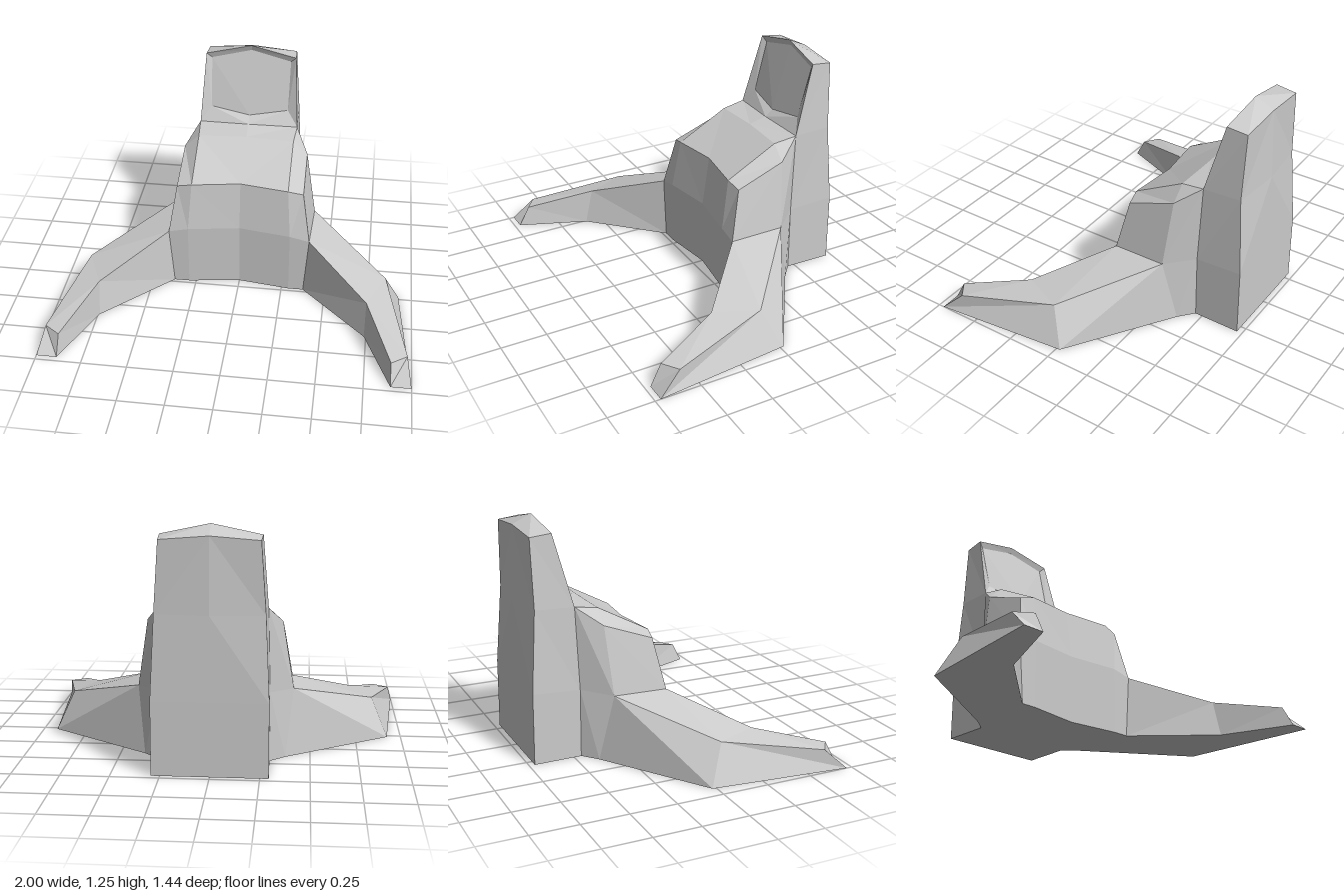
import * as THREE from 'three';

const material = new THREE.MeshStandardMaterial({ color: 0xcccccc, flatShading: true });

// Skins grids of points (rows bottom to top, columns left to right as seen
// from outside) on the +x half, and mirrors them onto the -x half.
function mirroredSkin(name, ...patches) {
  const positions = [];
  const triangle = (a, b, c) => {
    positions.push(...a, ...b, ...c);
    for (const [x, y, z] of [a, c, b]) positions.push(-x, y, z);
  };
  for (const rows of patches) {
    for (let i = 0; i < rows.length - 1; i++) {
      for (let j = 0; j < rows[i].length - 1; j++) {
        const a = rows[i][j], b = rows[i][j + 1];
        const c = rows[i + 1][j + 1], d = rows[i + 1][j];
        triangle(a, b, c);
        triangle(a, c, d);
      }
    }
  }
  const geometry = new THREE.BufferGeometry();
  geometry.setAttribute('position', new THREE.Float32BufferAttribute(positions, 3));
  geometry.computeVertexNormals();
  const mesh = new THREE.Mesh(geometry, material);
  mesh.name = name;
  return mesh;
}

export function createModel() {
  const group = new THREE.Group();
  group.name = 'archedSeat';

  // Body front: centre, inner and outer columns, from ground to seat rear
  const front = [
    [[0, 0, -0.06], [0.29, 0, -0.02], [0.375, 0, -0.02]],
    [[0, 0.375, -0.06], [0.29, 0.37, -0.02], [0.4, 0.345, -0.02]],
    [[0, 0.65, -0.1], [0.27, 0.643, -0.065], [0.355, 0.62, -0.08]],
    [[0, 0.8, -0.36], [0.27, 0.795, -0.35], [0.352, 0.72, -0.35]],
    [[0, 0.825, -0.46], [0.27, 0.815, -0.48], [0.28, 0.815, -0.48]],
  ];
  group.add(mirroredSkin('bodyFront', front));

  // Corner columns of the rear block
  const frontCorner = [[0.29, 0, -0.46], [0.29, 0.37, -0.46], [0.28, 0.815, -0.48], [0.255, 1.2, -0.585]];
  const backCorner = [[0.295, 0, -0.72], [0.295, 0.385, -0.72], [0.275, 0.82, -0.692], [0.25, 1.187, -0.7]];
  const backCentre = [[0, 0, -0.72], [0, 0.385, -0.72], [0, 0.82, -0.718], [0, 1.207, -0.705]];
  const topCentre = [0, 1.255, -0.6];

  // Arm sections from root to tip, running inner bottom, inner top, outer top, outer bottom
  const sections = [
    [front[0][2], front[1][2], [0.41, 0.355, -0.32], [0.37, 0, -0.39]],
    [[0.74, 0, 0.345], [0.74, 0.2, 0.3], [0.84, 0.2, 0.07], [0.925, 0, -0.02]],
    [[0.89, 0, 0.72], [0.885, 0.112, 0.66], [0.97, 0.112, 0.6], [1, 0, 0.72]],
  ];
  const [root, , tip] = sections;
  group.add(mirroredSkin('arms',
    [0, 1, 2, 3, 0].map((k) => sections.map((s) => s[k])),
    [[tip[0], tip[3]], [tip[1], tip[2]]]));

  // Body sides above and behind the arms
  group.add(mirroredSkin('bodySides',
    [[root[1], root[2]], [front[2][2], front[3][2]]],
    [[root[3], frontCorner[0]], [root[2], frontCorner[1]], [front[3][2], frontCorner[2]]]));

  // Backrest shell: sides, rear and sloping top
  group.add(mirroredSkin('backrestShell',
    frontCorner.map((p, i) => [p, backCorner[i]]),
    backCorner.map((p, i) => [p, backCentre[i]]),
    [[topCentre, frontCorner[3]], [backCentre[3], backCorner[3]]]));

  // Slightly sunk panel and its rim on the backrest front
  const low = [[0, 0.86, -0.505], [0.22, 0.895, -0.525]];
  const high = [[0, 1.222, -0.612], [0.225, 1.17, -0.598]];
  group.add(mirroredSkin('backrestPanel', [low, high]));
  group.add(mirroredSkin('backrestRim',
    [[front[4][0], frontCorner[2]], low],
    [[low[1], frontCorner[2]], [high[1], frontCorner[3]]],
    [high, [topCentre, frontCorner[3]]]));

  // Flat underside of the body
  group.add(mirroredSkin('underside', [
    [backCentre[0], [0.2, 0, -0.72], backCorner[0]],
    [[0, 0, -0.46], [0.2, 0, -0.46], frontCorner[0]],
    [[0, 0, -0.39], [0.29, 0, -0.39], root[3]],
    front[0],
  ]));

  return group;
}
